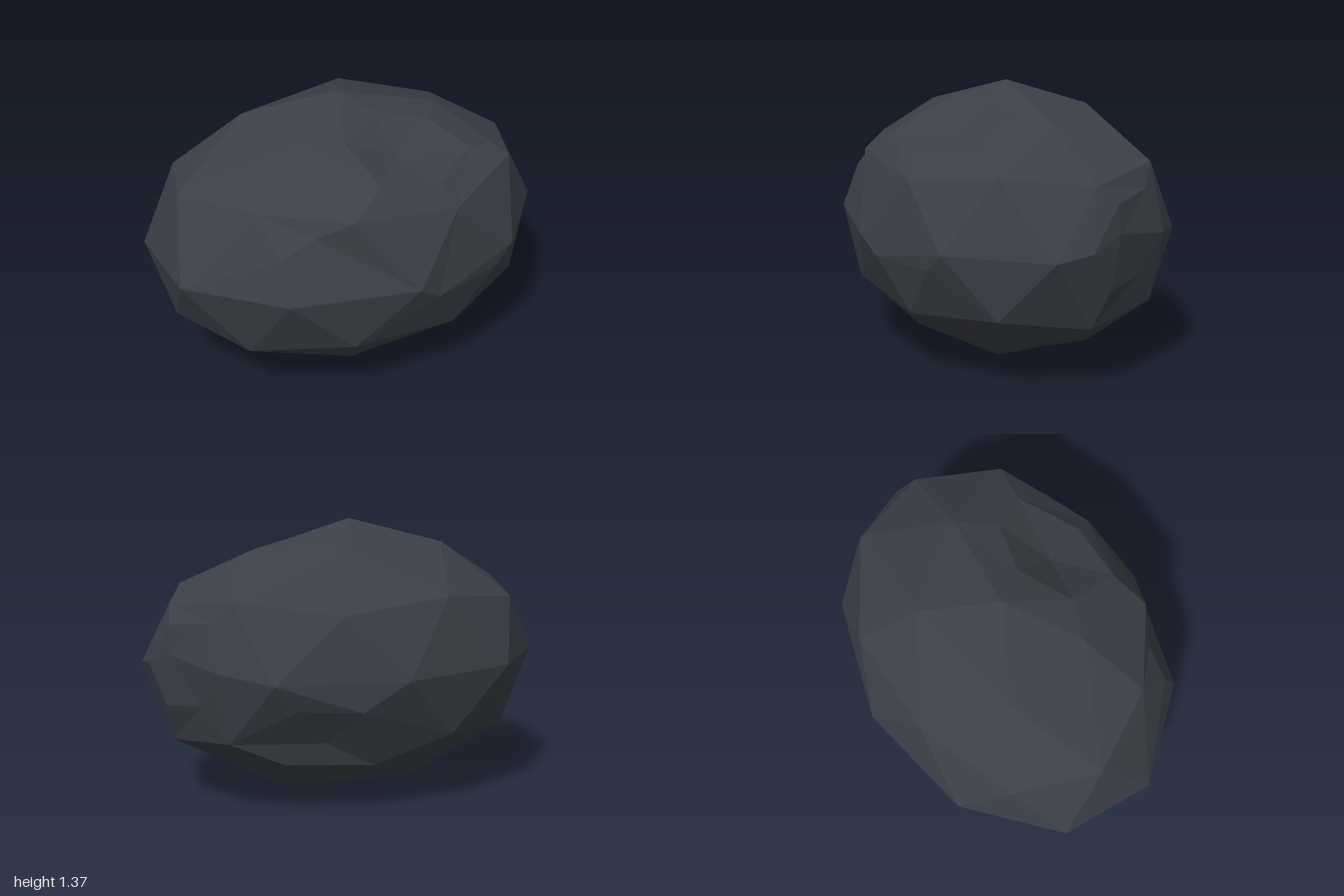
import * as THREE from 'three';
import { ConvexGeometry } from 'three/addons/geometries/ConvexGeometry.js';

const CENTRE = new THREE.Vector3(0, 0.67, 0);
const RADII = new THREE.Vector3(1.05, 0.68, 0.78);

// Regular faceted ellipsoid: rows of [height, radius, count, first angle, step] on a unit sphere.
function bouldersRows() {
  const rows = [
    [0.851, 0.526, 5, 0, 72],
    [0.447, 0.894, 5, 0, 72],
    [0.526, 0.851, 5, 36, 72],
    [0, 1, 10, 18, 36],
    [-0.447, 0.894, 5, 36, 72],
    [-0.526, 0.851, 5, 0, 72],
    [-0.851, 0.526, 5, 36, 72],
  ];
  const points = [];
  for (const [h, r, n, start, step] of rows) {
    for (let i = 0; i < n; i++) {
      const a = THREE.MathUtils.degToRad(start + i * step);
      points.push(new THREE.Vector3(r * Math.cos(a), h, r * Math.sin(a)).multiply(RADII).add(CENTRE));
    }
  }
  return points;
}

// Irregular corners that replace nearby regular ones.
const chips = [
  // crown and underside
  [-0.03, 1.365, -0.04], [0, 0.0, -0.03], [0.32, 0.05, -0.05], [-0.3, 0.045, 0.15], [0.7, 0.21, 0.1],
  // hollow in the upper front
  [0.1, 1.29, 0.12], [0.38, 1.21, 0.18], [0.51, 1.21, 0], [-0.15, 1.25, 0.28], [0.12, 1.14, 0.32],
  [-0.1, 1.13, 0.545], [0.22, 1.07, 0.545], [0.5, 1.11, 0.36], [0.27, 0.97, 0.64],
  // broken facets on the upper right
  [-0.35, 1.25, 0.22], [-0.65, 1.05, 0.38], [-0.62, 0.88, 0.545], [-0.45, 0.95, 0.55],
  // ridge below the front middle
  [0, 0.66, 0.775], [0.61, 0.67, 0.625], [0.12, 0.575, 0.745], [0.5, 0.575, 0.645],
  // hollow in the left side
  [0.91, 0.985, -0.01], [0.94, 0.9, -0.11], [0.82, 0.93, -0.33], [0.74, 1.04, -0.41], [0.95, 0.76, -0.12],
  [0.82, 0.71, -0.44], [0.85, 0.53, -0.28], [0.95, 0.5, -0.07], [1, 0.7, 0.05], [0.98, 0.67, 0.23],
  // hollow low on the back
  [0.5, 0.54, -0.62], [0.22, 0.53, -0.73], [0.33, 0.36, -0.56], [0.1, 0.24, -0.6], [0.5, 0.25, -0.47],
].map((p) => new THREE.Vector3(...p));

function boulderGeometry() {
  const corners = [
    ...chips,
    ...bouldersRows().filter((p) => chips.every((c) => c.distanceTo(p) > 0.17)),
  ];
  // Join the corners by their directions, then move each one to its true place.
  const directions = corners.map((p) => p.clone().sub(CENTRE).divide(RADII).normalize());
  const geometry = new ConvexGeometry(directions);
  const position = geometry.attributes.position;
  const v = new THREE.Vector3();
  for (let i = 0; i < position.count; i++) {
    v.fromBufferAttribute(position, i);
    let best = 0;
    directions.forEach((d, k) => {
      if (d.distanceToSquared(v) < directions[best].distanceToSquared(v)) best = k;
    });
    position.setXYZ(i, corners[best].x, corners[best].y, corners[best].z);
  }
  geometry.computeVertexNormals();
  return geometry;
}

export function createModel() {
  const stone = new THREE.MeshStandardMaterial({ color: 0x3b4047, flatShading: true });
  stone.name = 'dark stone';
  const boulder = new THREE.Mesh(boulderGeometry(), stone);
  boulder.name = 'boulder';
  const model = new THREE.Group();
  model.name = 'rock';
  model.add(boulder);
  return model;
}
